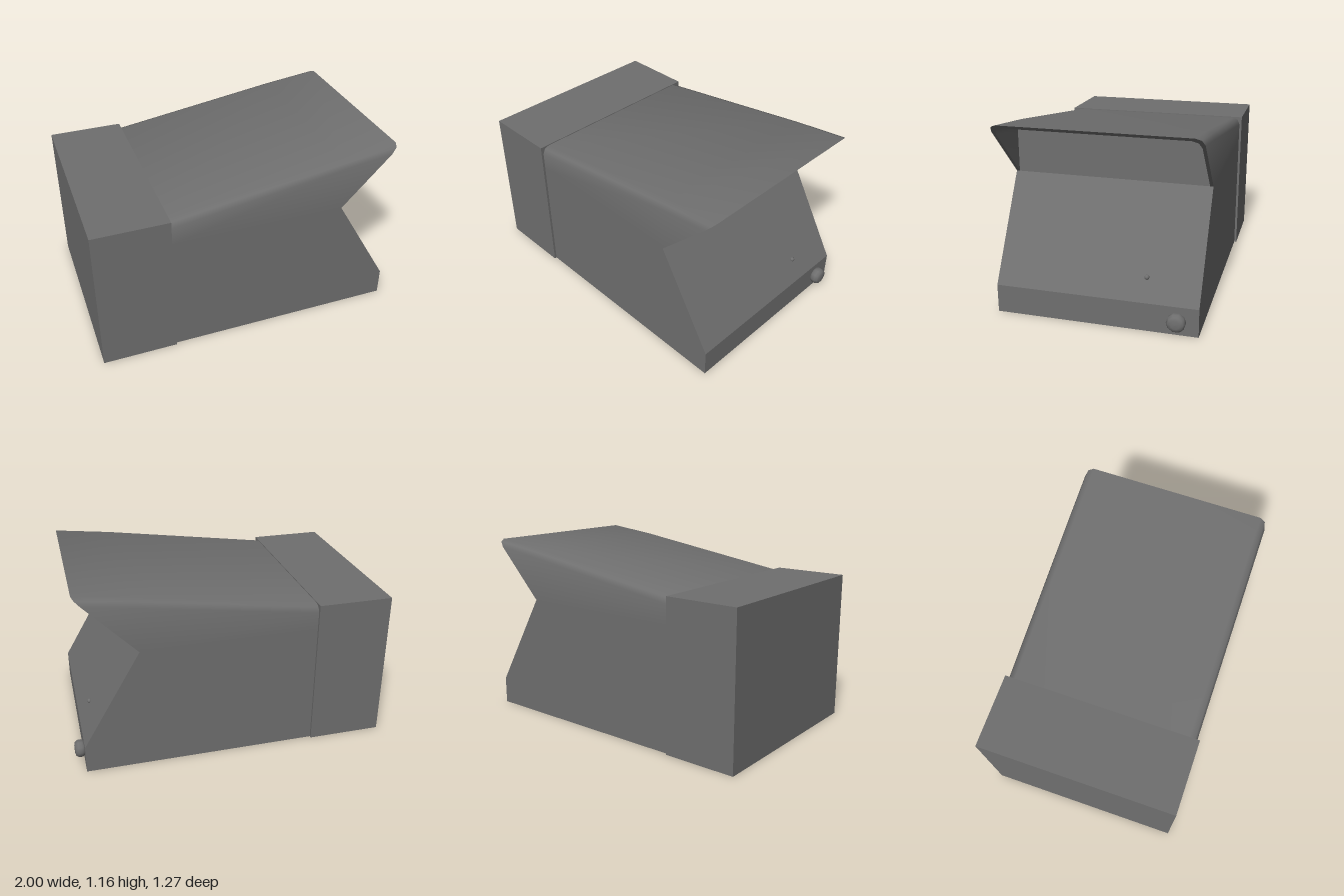
import * as THREE from 'three';
import { toCreasedNormals } from 'three/addons/utils/BufferGeometryUtils.js';

const MAT = new THREE.MeshStandardMaterial({ color: 0x6f6f6f });
const BACK = -0.527, NOTCH_X = 0.58, NOTCH_Y = 0.79, TIP = 0.942, TIP_Y = 1.163;
const HALF = 0.618, RADIUS = 0.048, WALL = 0.02;

function add(group, name, geometry) {
  const mesh = new THREE.Mesh(geometry, MAT);
  mesh.name = name;
  group.add(mesh);
  return mesh;
}

// Skin between rows of points
function loft(rows, flip = false) {
  const n = rows[0].length, index = [];
  for (let i = 0; i < rows.length - 1; i++) {
    for (let j = 0; j < n - 1; j++) {
      const a = i * n + j, b = a + n, c = b + 1, d = a + 1;
      if (flip) index.push(a, c, b, a, d, c);
      else index.push(a, b, c, a, c, d);
    }
  }
  const g = new THREE.BufferGeometry().setFromPoints(rows.flat());
  g.setIndex(index);
  return toCreasedNormals(g, 0.9);
}

// Arch with rounded shoulders as [z, y] pairs, from the +z foot over to the -z foot
function arch(top, inset) {
  const half = HALF - inset, h = top - inset, side = [[half, NOTCH_Y]];
  for (let k = 0; k <= 2; k++) {
    const a = k * Math.PI / 4;
    side.push([half - RADIUS * (1 - Math.cos(a)), h - RADIUS * (1 - Math.sin(a))]);
  }
  return [...side, ...side.map(([z, y]) => [-z, y]).reverse()];
}

const station = (x, top, inset) => arch(top, inset).map(([z, y]) => new THREE.Vector3(x, y, z));

// Front edge of the hood, cut along the slanted notch line
const slope = (TIP - NOTCH_X) / (TIP_Y - NOTCH_Y);
const cutEdge = inset => arch(TIP_Y, inset).map(([z, y]) =>
  new THREE.Vector3(NOTCH_X + (y - NOTCH_Y) * slope, y, z));

export function createModel() {
  const model = new THREE.Group();
  model.name = 'hoodedCabinet';

  // Rear housing
  add(model, 'rearHousing', new THREE.BoxGeometry(BACK + 1, 0.96, 1.266))
    .position.set((BACK - 1) / 2, 0.48, 0);

  // Lower body with sloping front panel
  const profile = new THREE.Shape([
    [BACK, 0], [TIP, 0], [TIP, 0.175], [NOTCH_X, NOTCH_Y], [BACK, NOTCH_Y],
  ].map(p => new THREE.Vector2(...p)));
  const body = new THREE.ExtrudeGeometry(profile, { depth: 2 * HALF, bevelEnabled: false });
  body.translate(0, 0, -HALF);
  add(model, 'lowerBody', body);

  // Hood: outer skin, inner lining and rim
  const hood = new THREE.Group();
  hood.name = 'hood';
  model.add(hood);
  add(hood, 'hoodSkin', loft([station(BACK, 0.955, 0), station(NOTCH_X, 1.12, 0), cutEdge(0)]));
  add(hood, 'hoodLining', loft([station(NOTCH_X, 1.12, WALL), cutEdge(WALL)], true));
  add(hood, 'hoodRim', loft([cutEdge(0), cutEdge(WALL)]));

  // Recessed screen under the hood
  const screen = new THREE.ShapeGeometry(
    new THREE.Shape(arch(1.12, WALL).map(p => new THREE.Vector2(...p))));
  screen.rotateY(Math.PI / 2).translate(NOTCH_X, 0, 0);
  add(model, 'screen', screen);

  // Softly rounded control knob on the front lip
  const knobProfile = [[0.05, 0], [0.057, 0.012], [0.057, 0.035], [0.046, 0.051], [0.026, 0.057], [0, 0.058]]
    .map(p => new THREE.Vector2(...p));
  const knob = add(model, 'knob', new THREE.LatheGeometry(knobProfile, 10));
  knob.rotation.z = -Math.PI / 2;
  knob.position.set(TIP, 0.09, -0.49);

  // Indicator lamp on the sloping panel
  add(model, 'indicatorLamp', new THREE.SphereGeometry(0.015, 10, 8)).position.set(0.87, 0.305, -0.295);

  return model;
}
